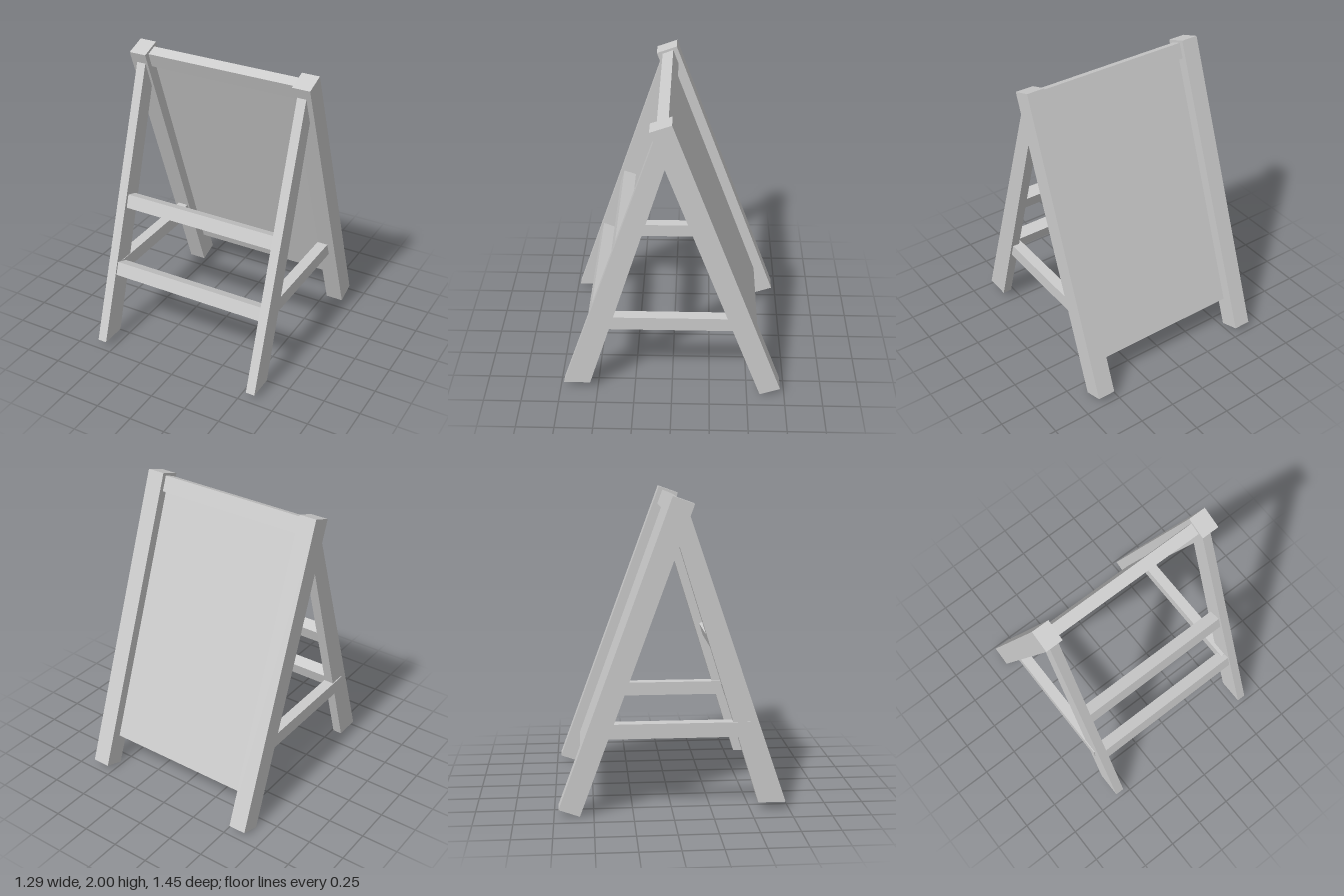
import * as THREE from 'three';

export function createModel() {
  const model = new THREE.Group();
  const grey = new THREE.MeshStandardMaterial({ color: 0xcccccc, side: THREE.DoubleSide });
  grey.name = 'plain grey';

  // Bar running between x0 and x1 whose side profile has [z, y] corners:
  // top front, top back, bottom back, bottom front.
  function bar(name, x0, x1, [topFront, topBack, bottomBack, bottomFront], openBottom = false) {
    const box = new THREE.BoxGeometry(1, 1, 1);
    if (openBottom) {
      const index = Array.from(box.index.array);
      index.splice(18, 6); // drop the underside
      box.setIndex(index);
      box.clearGroups();
    }
    const p = box.attributes.position;
    for (let i = 0; i < p.count; i++) {
      const front = p.getZ(i) > 0;
      const [z, y] = p.getY(i) > 0 ? (front ? topFront : topBack) : (front ? bottomFront : bottomBack);
      p.setXYZ(i, p.getX(i) > 0 ? x1 : x0, y, z);
    }
    const geometry = box.toNonIndexed();
    geometry.computeVertexNormals();
    const mesh = new THREE.Mesh(geometry, grey);
    mesh.name = name;
    model.add(mesh);
  }

  // Hollow sloping posts, leaning back towards the floor
  const post = [[0.13, 1.952], [-0.004, 2], [-0.722, 0.048], [-0.588, 0]];
  bar('rightPost', -0.643, -0.525, post, true);
  bar('leftPost', 0.522, 0.643, post, true);

  // Hollow front legs, cut to meet the front of the posts
  const leg = [[0.105, 1.882], [0.038, 1.7], [0.55, 0.05], [0.726, 0.05]];
  bar('rightFrontLeg', -0.605, -0.542, leg, true);
  bar('leftFrontLeg', 0.547, 0.609, leg, true);

  // Cross rails between the front legs, tilted with them
  for (const [name, z, y] of [['upperCrossRail', 0.343, 0.983], ['lowerCrossRail', 0.503, 0.538]]) {
    bar(name, -0.545, 0.55, [
      [z + 0.027, y + 0.058], [z - 0.055, y + 0.03], [z - 0.027, y - 0.058], [z + 0.055, y - 0.03],
    ]);
  }

  // Level side braces from the front legs to the posts
  const brace = [[0.49, 0.585], [-0.42, 0.585], [-0.45, 0.49], [0.49, 0.49]];
  bar('rightSideBrace', -0.612, -0.538, brace);
  bar('leftSideBrace', 0.521, 0.595, brace);

  // Rail along the top of the board
  bar('topRail', -0.525, 0.522, [[0.091, 1.947], [0.02, 1.975], [-0.016, 1.877], [0.055, 1.85]]);

  // Thin board set between the posts
  bar('board', -0.519, 0.522, [[0.026, 1.87], [0.018, 1.873], [-0.582, 0.228], [-0.574, 0.225]]);

  return model;
}
